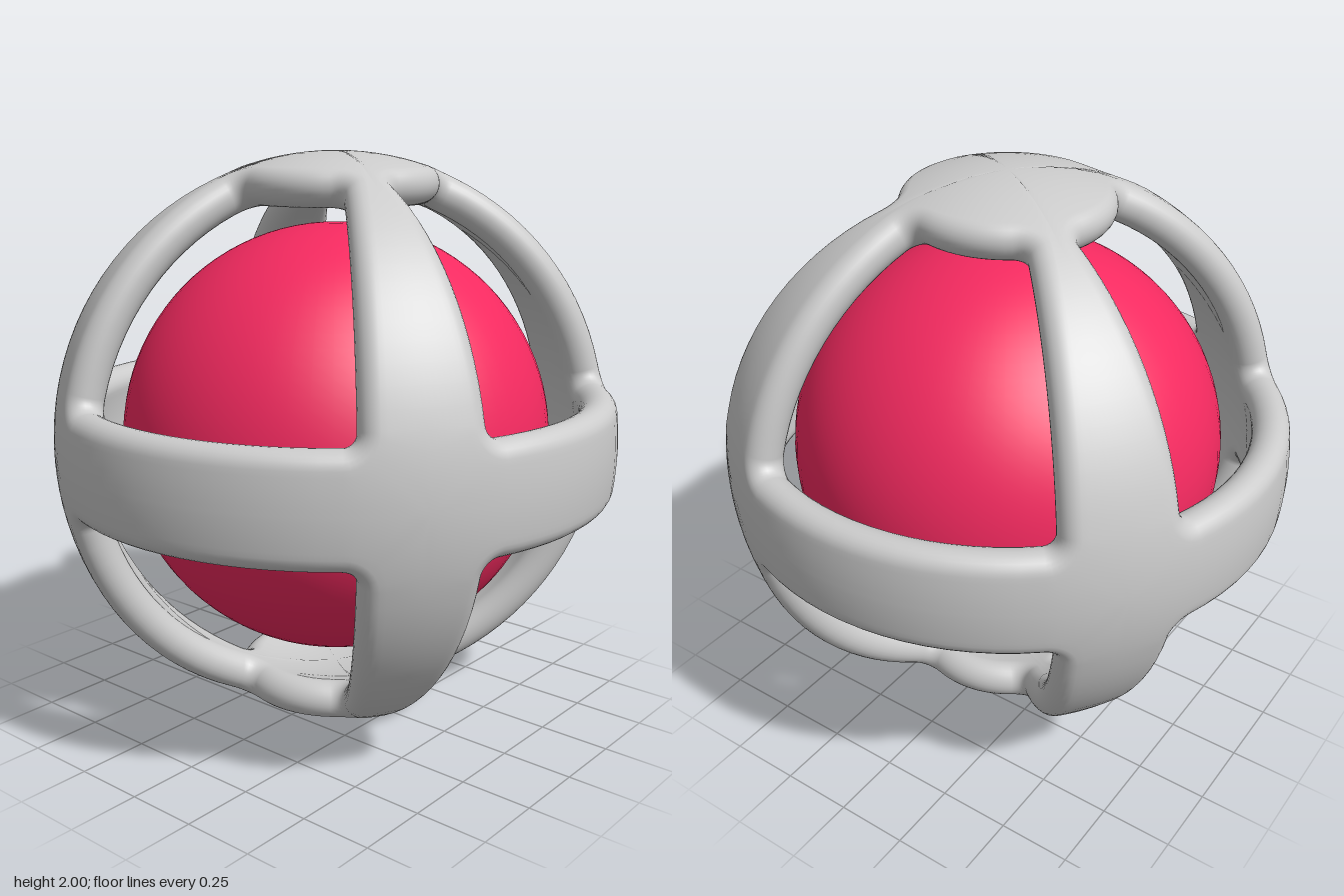
import * as THREE from 'three';
import { mergeVertices } from 'three/addons/utils/BufferGeometryUtils.js';

const rad = THREE.MathUtils.degToRad;
const lerp = THREE.MathUtils.lerp;

const MID = 0.925, HALF = 0.065;          // cage mid radius and half thickness
const RIB = rad(12.25);                   // half the angle a rib covers
const LOW = 0.197, HIGH = rad(67.8);      // latitudes where a window starts and ends
const CORNER = 0.045;                     // window corner radius
const ARC = 8, SIDE = 14;                 // steps per window corner and side
const RIB_TURN = rad(-34);                // bearing of the first rib

// Steps round one window: four corner arcs, each followed by a straight side
function windowSteps() {
  const steps = [];
  const corners = [[-1, 0], [1, 0], [1, 1], [-1, 1]];
  corners.forEach(([sx, top], k) => {
    for (let i = 0; i <= ARC; i++) {
      const f = i / ARC;
      steps.push({ kind: 'corner', sx, top, f: k % 2 ? 1 - f : f });
    }
    for (let i = 1; i < SIDE; i++) {
      const f = i / SIDE;
      if (k % 2) steps.push({ kind: 'rib', sx, f: sx > 0 ? f : 1 - f });
      else steps.push({ kind: 'ring', top, f: top ? 1 - f : f });
    }
  });
  return steps;
}

// Longitude and latitude of a step on the window outline grown by e
function outline(s, e) {
  const limit = Math.PI / 4 - RIB;
  if (s.kind === 'rib') {
    const lat = lerp(LOW + CORNER, HIGH - CORNER, s.f);
    return [s.sx * (limit + e / Math.cos(lat)), lat];
  }
  if (s.kind === 'ring') {
    const end = outline({ kind: 'corner', sx: 1, top: s.top, f: 1 }, e);
    return [lerp(-end[0], end[0], s.f), end[1]];
  }
  const a = s.f * Math.PI / 2;
  const u = CORNER - (CORNER + e) * Math.cos(a);
  const v = CORNER - (CORNER + e) * Math.sin(a);
  const lat = s.top ? HIGH - v : LOW + v;
  return [s.sx * (limit - u / Math.cos(lat)), lat];
}

// Matching point on the border of the cell: rib centre, equator or pole
function border(s, e) {
  const edge = Math.PI / 4;
  const [lon, lat] = outline(s, e);
  if (s.kind === 'rib') return [s.sx * edge, lat];
  const far = s.top ? Math.PI / 2 : 0;
  if (s.kind === 'ring') return [lon, far];
  if (s.f <= 0.5) {
    const start = s.top ? HIGH - CORNER : LOW + CORNER;
    return [s.sx * edge, lerp(start, far, s.f * 2)];
  }
  const end = outline({ ...s, f: 1 }, e)[0];
  return [lerp(s.sx * edge, end, s.f * 2 - 1), far];
}

// Rings from the outer border, over the rounded rim, to the inner border
function cellRings(steps) {
  const rings = [];
  const flat = 7, round = 14;
  const ring = (r, e, t) => rings.push(steps.map((s) => {
    const p = outline(s, e), q = border(s, e);
    return [lerp(p[0], q[0], t), lerp(p[1], q[1], t), r];
  }));
  for (let i = 0; i < flat; i++) ring(MID + HALF, HALF, 1 - i / flat);
  for (let i = 0; i <= round; i++) {
    const a = Math.PI * i / round;
    ring(MID + HALF * Math.cos(a), HALF * (1 - Math.sin(a)), 0);
  }
  for (let i = 1; i <= flat; i++) ring(MID - HALF, HALF, i / flat);
  return rings;
}

// Eight cells, four round the axis and mirrored below the equator
function cageGeometry() {
  const steps = windowSteps(), rings = cellRings(steps);
  const n = steps.length, pos = [], index = [];
  for (const sy of [1, -1]) {
    for (let k = 0; k < 4; k++) {
      const base = pos.length / 3;
      const turn = RIB_TURN + Math.PI / 4 + k * Math.PI / 2;
      for (const ring of rings) {
        for (const [lon, lat, r] of ring) {
          const h = r * Math.cos(lat);
          pos.push(h * Math.sin(lon + turn), sy * r * Math.sin(lat), h * Math.cos(lon + turn));
        }
      }
      for (let i = 0; i < rings.length - 1; i++) {
        for (let j = 0; j < n; j++) {
          const a = base + i * n + j, b = base + i * n + (j + 1) % n;
          const c = b + n, d = a + n;
          if (sy > 0) index.push(a, b, c, a, c, d);
          else index.push(a, c, b, a, d, c);
        }
      }
    }
  }
  const g = new THREE.BufferGeometry();
  g.setAttribute('position', new THREE.Float32BufferAttribute(pos, 3));
  g.setIndex(index);
  const merged = mergeVertices(g, 1e-4);
  merged.computeVertexNormals();
  return merged;
}

export function createModel() {
  const group = new THREE.Group();

  // Rounded cage: equator band, four ribs and two end caps in one skin
  const cage = new THREE.Mesh(cageGeometry(), new THREE.MeshStandardMaterial({ color: 0xcccccc }));
  cage.name = 'cage';
  cage.scale.y = 1.01;
  cage.position.y = 1;
  group.add(cage);

  // Ball inside the cage
  const ball = new THREE.Mesh(
    new THREE.SphereGeometry(0.755, 64, 48),
    new THREE.MeshStandardMaterial({ color: 0xf52a60 })
  );
  ball.name = 'innerBall';
  ball.position.y = 1.003;
  group.add(ball);

  return group;
}
